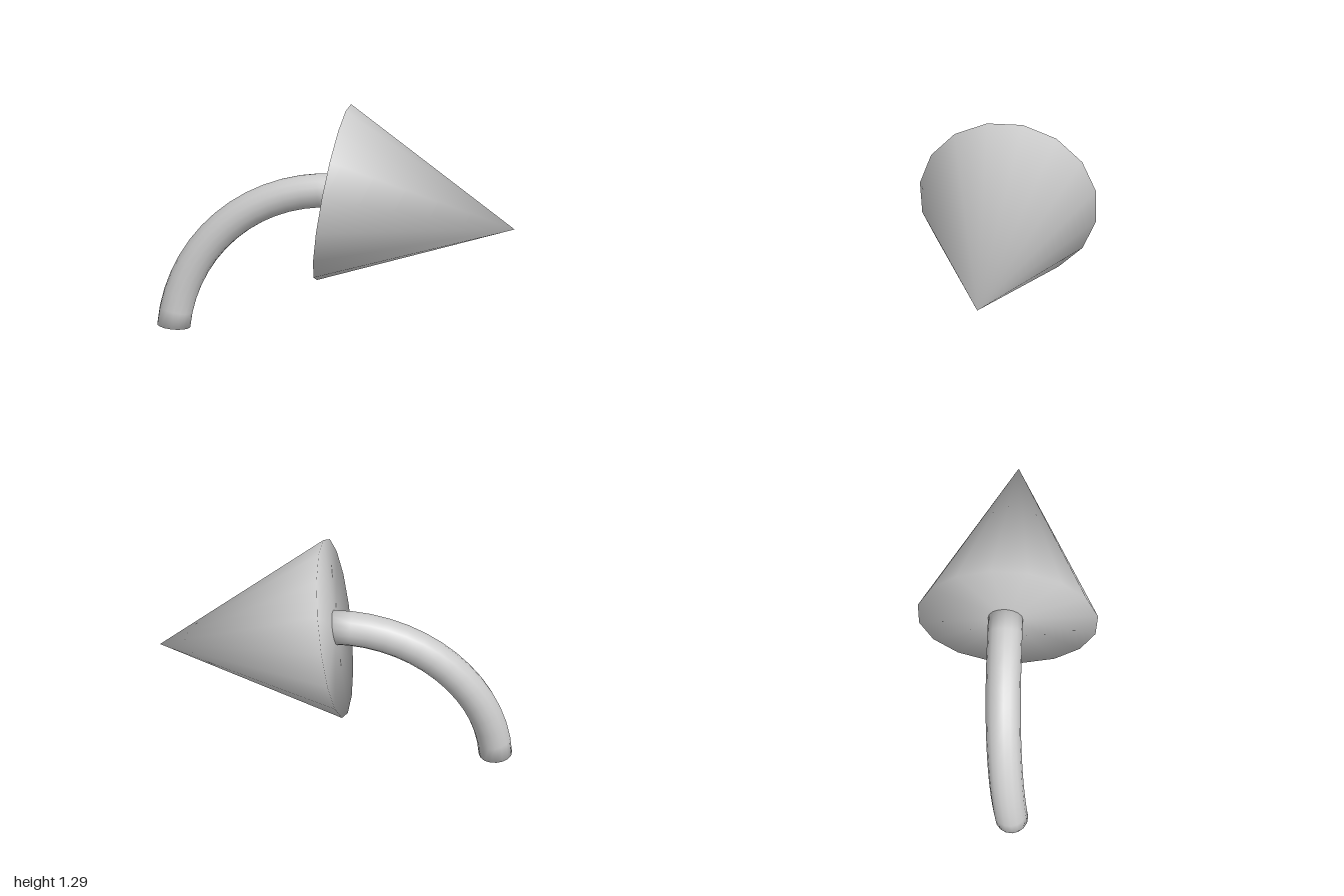
import * as THREE from 'three';
import { mergeVertices } from 'three/addons/utils/BufferGeometryUtils.js';

const material = new THREE.MeshStandardMaterial({ color: 0xcccccc });

// Weld all corners so the shading runs smoothly over the rims
function weld(geometry) {
  geometry.deleteAttribute('normal');
  geometry.deleteAttribute('uv');
  const welded = mergeVertices(geometry, 1e-4);
  welded.computeVertexNormals();
  return welded;
}

// Frame whose y axis runs along the given direction and whose z axis stays near world z
function frame(direction, origin) {
  const y = direction.clone().normalize();
  const z = new THREE.Vector3(0, 0, 1);
  z.addScaledVector(y, -z.dot(y)).normalize();
  const x = new THREE.Vector3().crossVectors(y, z);
  return new THREE.Matrix4().makeBasis(x, y, z).setPosition(origin);
}

// Centre line of the shaft: an arc bowed slightly to the back
function shaftPoint(t) {
  const a = THREE.MathUtils.degToRad(174 - 86 * t);
  return new THREE.Vector3(
    -0.005 + 0.905 * Math.cos(a),
    -0.085 + 0.9 * Math.sin(a),
    -0.01 * t - 0.032 * Math.sin(Math.PI * t)
  );
}

// Capped cylinder bent along the centre line
function shaftGeometry() {
  const g = new THREE.CylinderGeometry(0.095, 0.095, 1, 16, 14);
  const pos = g.attributes.position;
  const v = new THREE.Vector3();
  for (let i = 0; i < pos.count; i++) {
    v.fromBufferAttribute(pos, i);
    const t = v.y + 0.5;
    const tangent = shaftPoint(t + 0.001).sub(shaftPoint(t - 0.001));
    v.y = 0;
    v.applyMatrix4(frame(tangent, shaftPoint(t)));
    pos.setXYZ(i, v.x, v.y, v.z);
  }
  return weld(g);
}

// Sixteen-sided cone from the base centre to the tip
function headGeometry() {
  const base = new THREE.Vector3(0.01, 0.805, 0);
  const axis = new THREE.Vector3(1, 0.64, 0.09).sub(base);
  const length = axis.length();
  const g = new THREE.ConeGeometry(0.495, length, 16, 1, false, 0.22);
  g.translate(0, length / 2, 0);
  g.applyMatrix4(frame(axis, base));
  return weld(g);
}

export function createModel() {
  const group = new THREE.Group();
  group.name = 'curvedArrow';
  const parts = { arrowShaft: shaftGeometry(), arrowHead: headGeometry() };
  for (const [name, geometry] of Object.entries(parts)) {
    const mesh = new THREE.Mesh(geometry, material);
    mesh.name = name;
    group.add(mesh);
  }
  return group;
}
